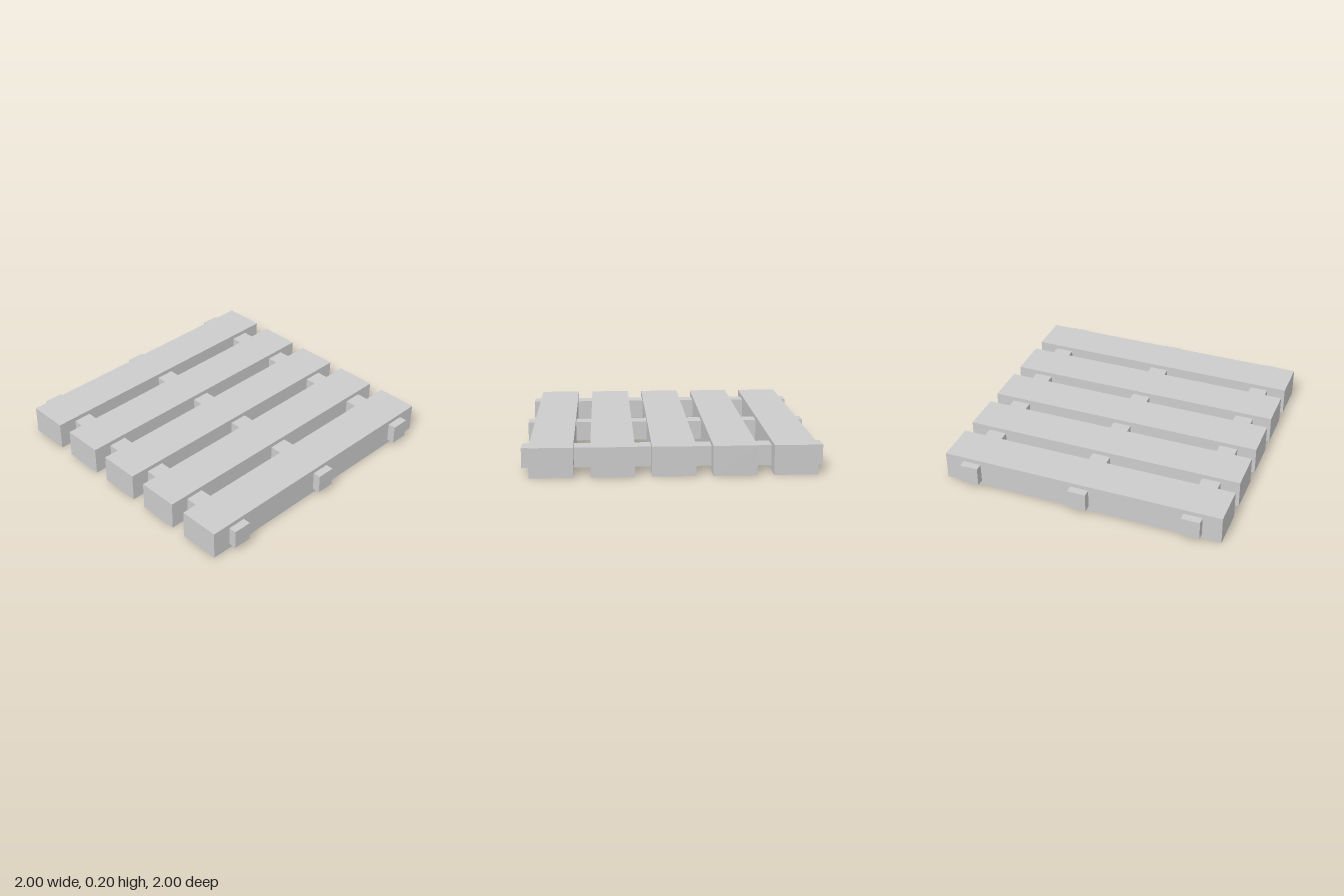
import * as THREE from 'three';

export function createModel() {
  const group = new THREE.Group();
  const material = new THREE.MeshStandardMaterial({ color: 0xcccccc, flatShading: true });

  const addBox = (name, size, position) => {
    const mesh = new THREE.Mesh(new THREE.BoxGeometry(...size), material);
    mesh.name = name;
    mesh.position.set(...position);
    group.add(mesh);
  };

  // Five thick planks running front to back
  for (let i = -2; i <= 2; i++) {
    addBox(`plank${i + 3}`, [0.29, 0.2, 2], [i * 0.4, 0.1, 0]);
  }

  // Three crossbars threaded through the planks
  for (let i = -1; i <= 1; i++) {
    addBox(`crossbar${i + 2}`, [2, 0.135, 0.13], [0, 0.102, i * 0.8]);
  }

  return group;
}
